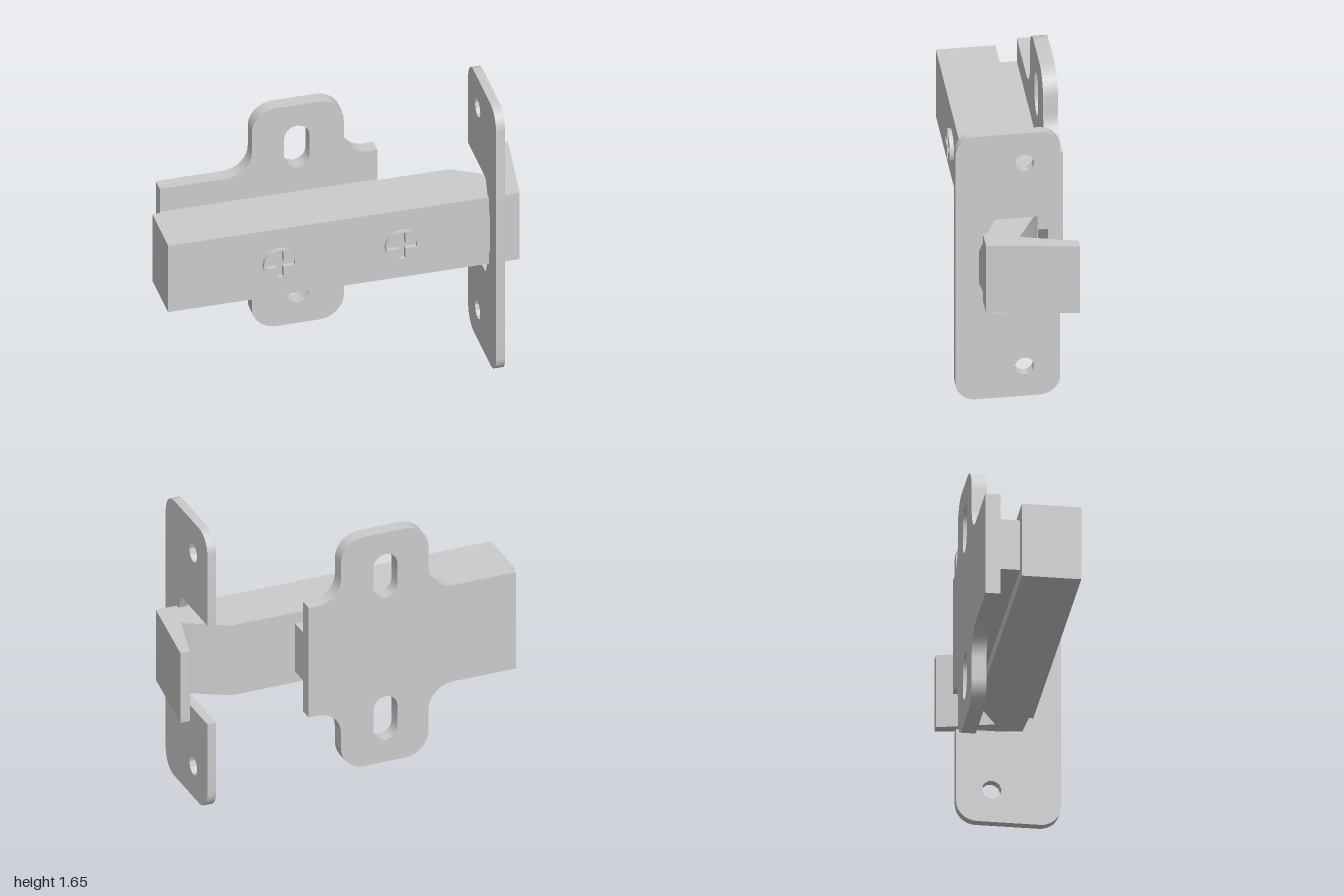
import * as THREE from 'three';
import { toCreasedNormals } from 'three/addons/utils/BufferGeometryUtils.js';

const MID = 0.83; // height of the horizontal symmetry line
const material = new THREE.MeshStandardMaterial({ color: 0xcccccc });

function extrude(shape, depth, curveSegments = 8) {
  const g = new THREE.ExtrudeGeometry(shape, { depth, bevelEnabled: false, curveSegments });
  return toCreasedNormals(g, 0.6);
}

function part(name, geometry) {
  const mesh = new THREE.Mesh(geometry, material);
  mesh.name = name;
  return mesh;
}

const polygon = (points) => points.map(([x, y]) => new THREE.Vector2(x, y));

// Points along an arc, angles in quarter turns
function arc(cx, cy, r, from, to, n = 8) {
  return Array.from({ length: n + 1 }, (_, i) => {
    const a = (from + (to - from) * i / n) * Math.PI / 2;
    return [cx + r * Math.cos(a), cy + r * Math.sin(a)];
  });
}

// Sliding bar with a hooked end: plan outline in (x, -z), raised along y
function latchArm() {
  const outline = [[-1, -0.178], [0.93, -0.178], [1, 0.315], [0.945, 0.315],
    [0.865, 0.01], [0.63, 0.14], [-1, 0.14]];
  const g = extrude(new THREE.Shape(polygon(outline)), 0.42);
  g.rotateX(-Math.PI / 2).translate(0, MID - 0.21, 0);
  return part('latchArm', g);
}

// Cross-shaped mounting plate with two slots
function mountingPlate() {
  const upper = [
    [0.265, 0.33],
    ...arc(0.21, 0.46, 0.13, 3, 2),
    ...arc(-0.055, 0.555, 0.135, 0, 1),
    ...arc(-0.29, 0.555, 0.135, 1, 2),
    ...arc(-0.565, 0.43, 0.14, 0, -1),
    [-0.93, 0.29],
  ];
  const lower = upper.map(([x, y]) => [x, -y]).reverse();
  const shape = new THREE.Shape(polygon([...upper, ...lower]));
  for (const s of [1, -1]) {
    const y = s * 0.428;
    shape.holes.push(new THREE.Path(polygon([
      ...arc(-0.177, y + 0.063, 0.07, 0, 2, 6),
      ...arc(-0.177, y - 0.063, 0.07, 2, 4, 6),
    ])));
  }
  const g = extrude(shape, 0.08);
  g.translate(0, MID, -0.325);
  return part('mountingPlate', g);
}

// Keeper plate, outline in (-z, y), thickness along x
function strikePlate() {
  const H = 0.8275, r = 0.11;
  const outline = [
    ...arc(-0.325 + r, -H + r, r, 2, 3),
    ...arc(0.235 - r, -H + r, r, 3, 4),
    [0.235, -0.297], [-0.115, -0.297], [-0.2, -0.105],
    [-0.2, 0.105], [-0.115, 0.297], [0.235, 0.297],
    ...arc(0.235 - r, H - r, r, 0, 1),
    ...arc(-0.325 + r, H - r, r, 1, 2),
  ];
  const shape = new THREE.Shape(polygon(outline));
  for (const s of [1, -1]) {
    shape.holes.push(new THREE.Path(polygon(arc(0.045, s * 0.64, 0.053, 0, 4, 10).slice(0, -1))));
  }
  const g = extrude(shape, 0.05);
  g.rotateY(Math.PI / 2).translate(0.76, H, 0);
  return part('strikePlate', g);
}

// Flat screw head with a cross recess
function screwHead(x) {
  const shape = new THREE.Shape(polygon(arc(0, 0, 0.092, 0, 4, 20).slice(0, -1)));
  const a = 0.016, b = 0.08;
  shape.holes.push(new THREE.Path(polygon([
    [b, -a], [b, a], [a, a], [a, b], [-a, b], [-a, a],
    [-b, a], [-b, -a], [-a, -a], [-a, -b], [a, -b], [a, -a],
  ])));
  const mesh = part('screwHead', extrude(shape, 0.024));
  mesh.position.set(x, MID, 0.177);
  return mesh;
}

export function createModel() {
  const model = new THREE.Group();
  model.name = 'doorLatch';

  // Narrow block joining the arm to the mounting plate
  const spacer = part('spacer', new THREE.BoxGeometry(1.195, 0.29, 0.11));
  spacer.position.set(-0.3325, MID, -0.193);

  model.add(latchArm(), spacer, mountingPlate(), strikePlate());
  for (const x of [-0.39, 0.28]) model.add(screwHead(x));
  return model;
}
